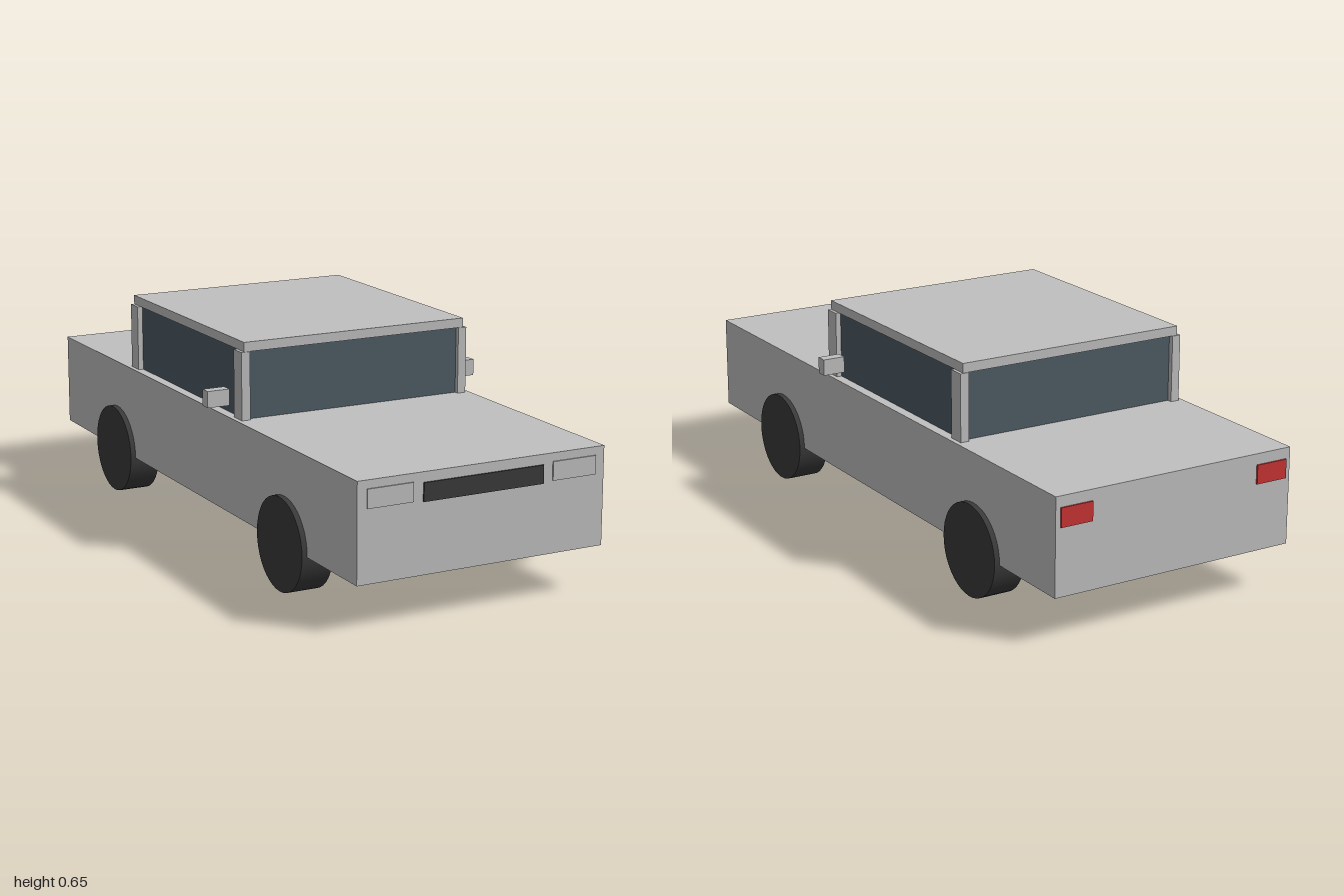
import * as THREE from 'three';

const material = (name, color) => {
  const m = new THREE.MeshStandardMaterial({ color });
  m.name = name;
  return m;
};

export function createModel() {
  const car = new THREE.Group();
  car.name = 'pickupSedan';
  const paint = material('silverPaint', 0xc0c0c0);
  const glass = material('tintedGlass', 0x4f5b64);
  const black = material('blackRubber', 0x3a3a3a);
  const red = material('tailRed', 0xc83434);

  // Box given by its lower and upper limits on each axis
  const box = (name, mat, [x0, x1], [y0, y1], [z0, z1]) => {
    const mesh = new THREE.Mesh(new THREE.BoxGeometry(x1 - x0, y1 - y0, z1 - z0), mat);
    mesh.position.set((x0 + x1) / 2, (y0 + y1) / 2, (z0 + z1) / 2);
    mesh.name = name;
    car.add(mesh);
  };

  // Body, glazed cabin and roof
  box('body', paint, [-0.387, 0.387], [0.134, 0.42], [-0.995, 0.995]);
  box('cabinGlass', glass, [-0.357, 0.357], [0.42, 0.62], [-0.475, 0.277]);
  box('roof', paint, [-0.363, 0.363], [0.62, 0.648], [-0.488, 0.288]);
  box('grille', black, [-0.188, 0.188], [0.338, 0.391], [0.994, 1]);

  // Mirrored parts
  for (const s of [1, -1]) {
    const side = s > 0 ? 'left' : 'right';
    const span = (a, b) => (s > 0 ? [a, b] : [-b, -a]);
    box(side + 'FrontPillar', paint, span(0.346, 0.373), [0.42, 0.62], [0.24, 0.291]);
    box(side + 'RearPillar', paint, span(0.346, 0.373), [0.42, 0.62], [-0.491, -0.44]);
    box(side + 'Mirror', paint, span(0.377, 0.446), [0.45, 0.499], [0.184, 0.218]);
    box(side + 'Headlight', paint, span(0.219, 0.358), [0.342, 0.396], [0.994, 0.999]);
    box(side + 'TailLight', red, span(0.272, 0.372), [0.332, 0.388], [-1, -0.994]);

    // Wheels
    for (const [end, z] of [['Front', 0.58], ['Rear', -0.582]]) {
      const wheel = new THREE.Mesh(new THREE.CylinderGeometry(0.137, 0.137, 0.096, 40), black);
      wheel.rotation.z = Math.PI / 2;
      wheel.position.set(s * 0.355, 0.137, z);
      wheel.name = side + end + 'Wheel';
      car.add(wheel);
    }
  }
  return car;
}
